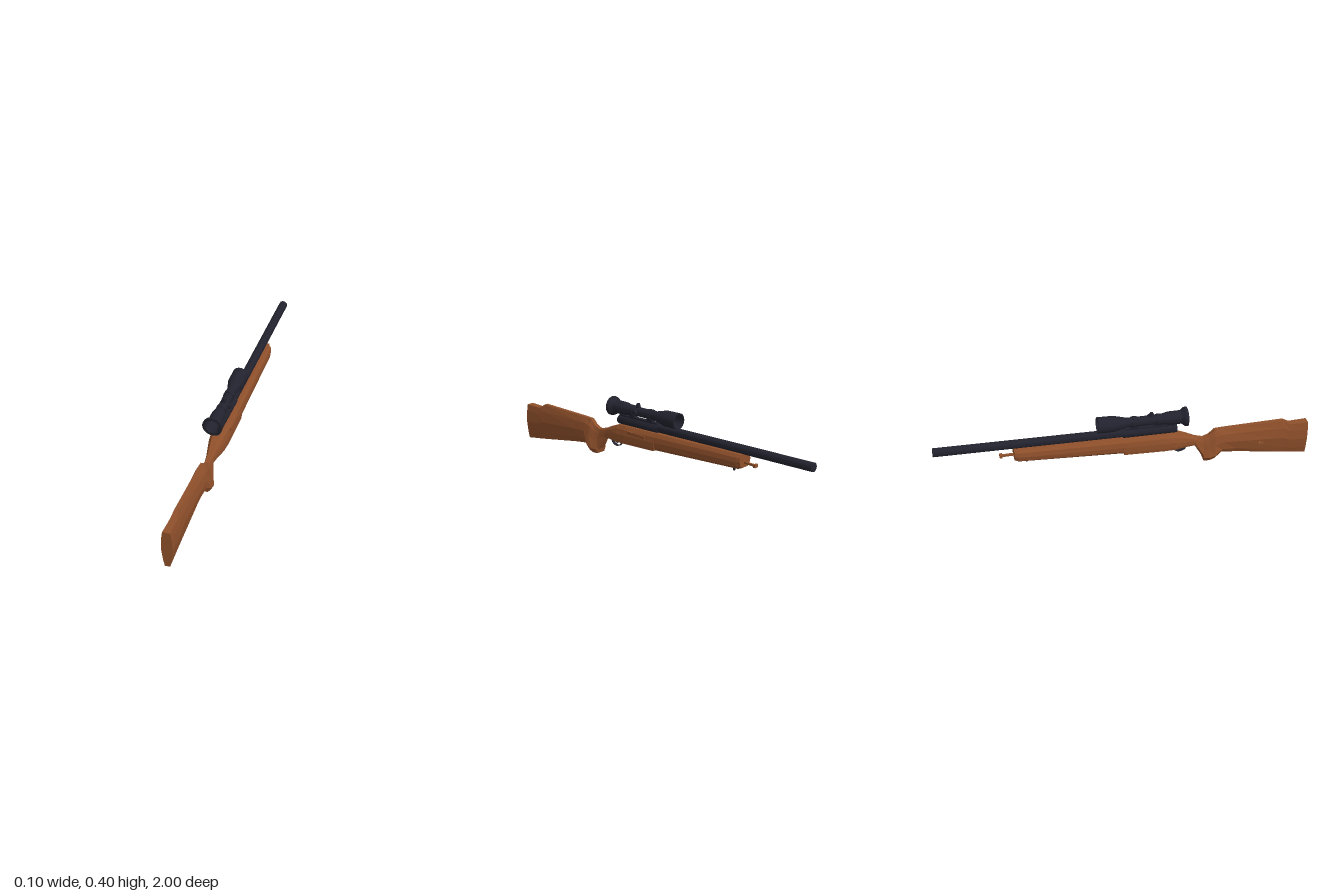
import * as THREE from 'three';
import { toCreasedNormals } from 'three/addons/utils/BufferGeometryUtils.js';

const wood = new THREE.MeshStandardMaterial({ color: 0x8f502b, flatShading: true });
wood.name = 'walnut wood';
const metal = new THREE.MeshStandardMaterial({ color: 0x22222e });
metal.name = 'blued steel';

function add(parent, name, geometry, material, x = 0, y = 0, z = 0) {
  const mesh = new THREE.Mesh(geometry, material);
  mesh.name = name;
  mesh.position.set(x, y, z);
  parent.add(mesh);
  return mesh;
}

const box = (w, h, d) => new THREE.BoxGeometry(w, h, d);

// Cylinder lying along z; r0 is the radius at the +z end
function rod(r0, r1, length, sides = 16) {
  const g = new THREE.CylinderGeometry(r0, r1, length, sides).rotateX(Math.PI / 2);
  return toCreasedNormals(g, 0.6);
}

// Skin over mirrored cross-sections, listed from +z to -z:
// [z, bottom y, top y, five half widths from bottom to top]
function loft(rows) {
  const heights = [0, 0.18, 0.5, 0.8, 1];
  const pos = [], index = [], n = 10;
  for (const [z, y0, y1, ...w] of rows) {
    const half = w.map((x, k) => [x, y0 + (y1 - y0) * heights[k]]);
    for (const [x, y] of half) pos.push(x, y, z);
    for (const [x, y] of half.reverse()) pos.push(-x, y, z);
  }
  for (let i = 0; i < rows.length - 1; i++) {
    for (let j = 0; j < n; j++) {
      const a = i * n + j, b = i * n + (j + 1) % n;
      index.push(a, a + n, b, b, a + n, b + n);
    }
  }
  const last = (rows.length - 1) * n;
  for (let j = 1; j < n - 1; j++) {
    index.push(0, j, j + 1, last, last + j + 1, last + j);
  }
  const g = new THREE.BufferGeometry();
  g.setAttribute('position', new THREE.Float32BufferAttribute(pos, 3));
  g.setIndex(index);
  const flat = g.toNonIndexed();
  flat.computeVertexNormals();
  return flat;
}

function createScope() {
  const scope = new THREE.Group();
  scope.name = 'scope';
  // Hollow body: [radius, z] around the outside, then back through the bore
  const profile = [
    [0.038, 0.322], [0.052, 0.322], [0.05, 0.308], [0.036, 0.29], [0.035, 0.22],
    [0.025, 0.175], [0.025, 0.0], [0.042, -0.07], [0.043, -0.155], [0.037, -0.155],
    [0.035, -0.08], [0.022, -0.02], [0.022, 0.22], [0.033, 0.27], [0.038, 0.322],
  ].map(([r, z]) => new THREE.Vector2(r, z));
  const body = new THREE.LatheGeometry(profile.reverse(), 24).rotateX(Math.PI / 2);
  const tube = metal.clone();
  tube.side = THREE.DoubleSide;
  add(scope, 'scopeBody', toCreasedNormals(body, 0.5), tube);

  // Reticle
  add(scope, 'reticleHorizontal', box(0.044, 0.001, 0.001), metal, 0, 0, 0.1);
  add(scope, 'reticleVertical', box(0.001, 0.044, 0.001), metal, 0, 0, 0.1);
  for (const s of [-1, 1]) {
    add(scope, 'reticleSidePost', box(0.012, 0.003, 0.002), metal, s * 0.016, 0, 0.1);
  }
  add(scope, 'reticleLowerPost', box(0.003, 0.012, 0.002), metal, 0, -0.016, 0.1);

  // Adjustment turrets
  const collar = new THREE.CylinderGeometry(0.013, 0.013, 0.014, 12);
  add(scope, 'topTurret', toCreasedNormals(collar, 0.6), metal, 0, 0.03, 0.13);
  const cap = new THREE.CylinderGeometry(0.009, 0.009, 0.012, 12);
  add(scope, 'turretCap', toCreasedNormals(cap, 0.6), metal, 0, 0.039, 0.13);
  add(scope, 'sideTurret', toCreasedNormals(collar.clone().rotateZ(Math.PI / 2), 0.6), metal, 0.03, 0, 0.13);

  // Mounting rings and feet
  for (const z of [0.17, 0.04]) {
    add(scope, 'mountRing', rod(0.028, 0.028, 0.028, 20).clone(), tube, 0, 0, z).geometry =
      toCreasedNormals(new THREE.LatheGeometry([[0.022, -0.014], [0.029, -0.014],
        [0.029, 0.014], [0.022, 0.014]].map(([r, h]) => new THREE.Vector2(r, h)), 20)
        .rotateX(Math.PI / 2), 0.5);
    add(scope, 'mountFoot', box(0.026, 0.024, 0.04), metal, 0, -0.034, z);
  }
  return scope;
}

export function createModel() {
  const rifle = new THREE.Group();
  rifle.name = 'rifle';

  // Butt, comb, grip and wrist
  add(rifle, 'buttStock', loft([
    [1.0, 0.002, 0.205, 0.013, 0.021, 0.029, 0.026, 0.02],
    [0.9, 0.018, 0.205, 0.012, 0.02, 0.028, 0.025, 0.018],
    [0.86, 0.025, 0.232, 0.012, 0.02, 0.028, 0.022, 0.01],
    [0.6, 0.073, 0.232, 0.014, 0.024, 0.032, 0.024, 0.01],
    [0.52, 0.086, 0.232, 0.018, 0.032, 0.034, 0.026, 0.01],
    [0.48, 0.056, 0.23, 0.026, 0.047, 0.036, 0.026, 0.01],
    [0.45, 0.049, 0.2, 0.03, 0.046, 0.032, 0.022, 0.011],
    [0.42, 0.05, 0.188, 0.026, 0.038, 0.026, 0.019, 0.011],
    [0.414, 0.075, 0.188, 0.024, 0.032, 0.024, 0.018, 0.011],
    [0.37, 0.152, 0.202, 0.016, 0.02, 0.021, 0.018, 0.011],
    [0.33, 0.156, 0.222, 0.024, 0.028, 0.028, 0.024, 0.014],
    [0.26, 0.159, 0.25, 0.04, 0.043, 0.042, 0.034, 0.02],
    [0.2, 0.163, 0.258, 0.045, 0.047, 0.047, 0.041, 0.028],
    [-0.02, 0.175, 0.268, 0.045, 0.047, 0.047, 0.042, 0.03],
  ]), wood);

  // Fore-end with chamfered lower edges
  add(rifle, 'foreEnd', loft([
    [-0.02, 0.176, 0.268, 0.03, 0.044, 0.046, 0.042, 0.03],
    [-0.57, 0.213, 0.291, 0.026, 0.042, 0.046, 0.042, 0.03],
    [-0.592, 0.222, 0.291, 0.022, 0.036, 0.042, 0.039, 0.029],
  ]), wood);
  add(rifle, 'loadingPort', box(0.008, 0.018, 0.13), wood, 0.044, 0.232, 0.11);

  // Barrel, receiver and scope share one slightly raised axis
  const action = new THREE.Group();
  action.name = 'action';
  action.position.set(-0.002, 0.289, 0);
  action.rotation.x = 0.035;
  rifle.add(action);
  add(action, 'barrel', rod(0.023, 0.023, 1.26), metal, 0, 0, -0.37);
  add(action, 'receiver', rod(0.024, 0.026, 0.29, 12), metal, 0, -0.004, 0.125);
  add(action, 'scopeRail', box(0.024, 0.01, 0.27), metal, 0, 0.022, 0.125);
  const scope = createScope();
  scope.position.y = 0.0625;
  action.add(scope);

  // Trigger guard: half hoop flattened into a strap
  const hoop = new THREE.TorusGeometry(0.038, 0.0025, 6, 20, Math.PI)
    .rotateZ(Math.PI).rotateY(Math.PI / 2).scale(4, 0.95, 1);
  add(rifle, 'triggerGuard', hoop, metal, 0, 0.158, 0.29);
  add(rifle, 'triggerPlate', box(0.026, 0.006, 0.11), metal, 0, 0.156, 0.28);
  const trigger = add(rifle, 'trigger', box(0.006, 0.026, 0.005), metal, 0, 0.145, 0.295);
  trigger.rotation.x = 0.25;

  // Sling fittings
  add(rifle, 'foreEndStud', box(0.012, 0.01, 0.07), wood, 0, 0.245, -0.62);
  add(rifle, 'foreEndKnob', box(0.024, 0.016, 0.014), wood, 0, 0.245, -0.658);
  add(rifle, 'lowerStud', box(0.01, 0.026, 0.008), metal, 0, 0.202, -0.527);
  add(rifle, 'sideStud', box(0.02, 0.007, 0.012), wood, -0.035, 0.127, 0.73);
  add(rifle, 'sideStudHead', box(0.006, 0.01, 0.03), wood, -0.043, 0.127, 0.73);

  return rifle;
}
